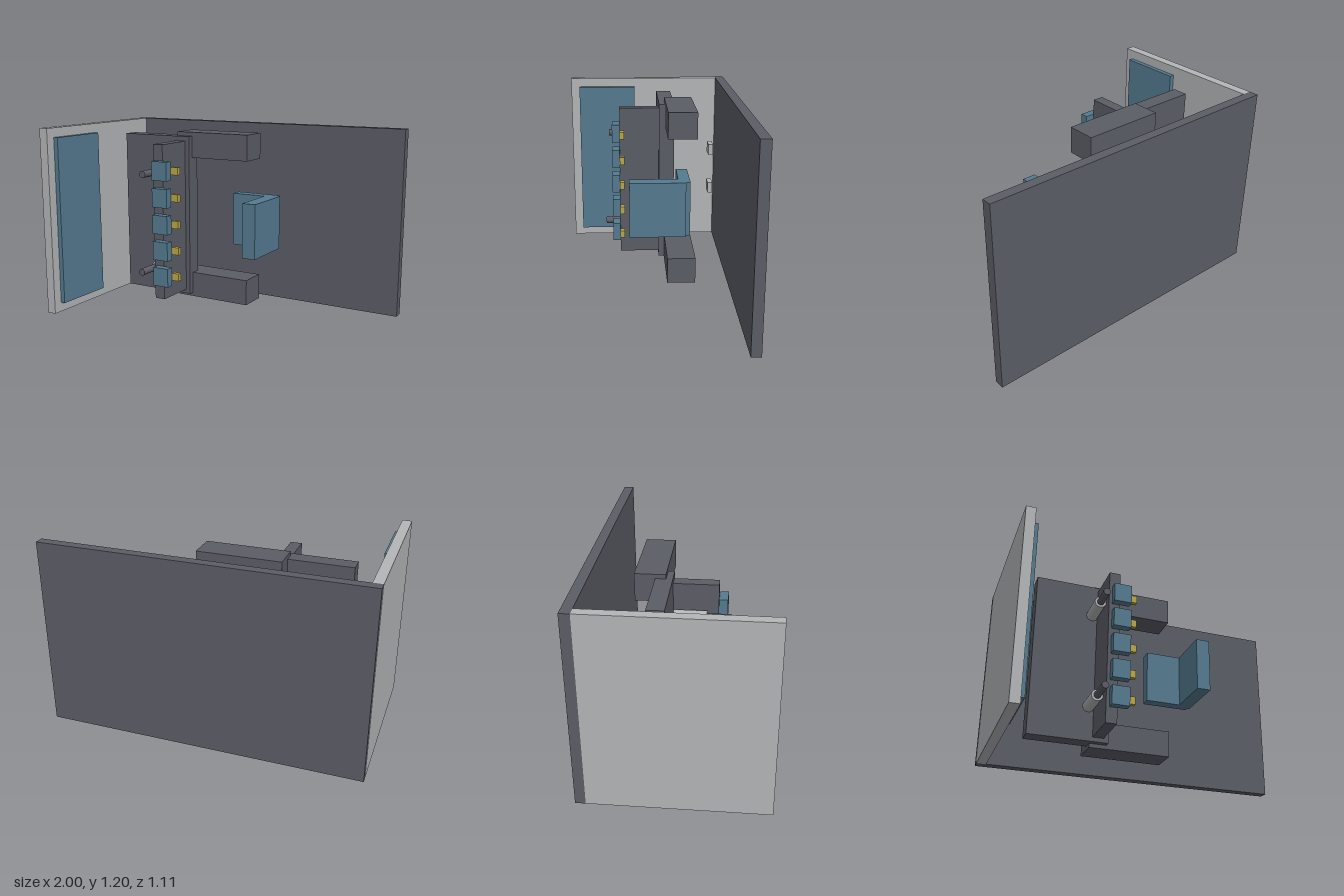
import * as THREE from 'three';

const mat = (name, color) => {
  const m = new THREE.MeshStandardMaterial({ color });
  m.name = name;
  return m;
};

export function createModel() {
  const model = new THREE.Group();
  model.name = 'wallMechanism';
  const dark = mat('darkGrey', 0x5b5d66);
  const light = mat('lightGrey', 0xb4b5b7);
  const blue = mat('steelBlue', 0x557b90);
  const yellow = mat('brassYellow', 0xb9a648);

  // Box given by its limits on each axis
  const box = (name, material, [x0, x1], [y0, y1], [z0, z1]) => {
    const mesh = new THREE.Mesh(new THREE.BoxGeometry(x1 - x0, y1 - y0, z1 - z0), material);
    mesh.position.set((x0 + x1) / 2, (y0 + y1) / 2, (z0 + z1) / 2);
    mesh.name = name;
    model.add(mesh);
  };
  // Round bar along z
  const bar = (name, material, r, x, y, z0, z1) => {
    const mesh = new THREE.Mesh(new THREE.CylinderGeometry(r, r, z1 - z0, 32), material);
    mesh.rotation.x = Math.PI / 2;
    mesh.position.set(x, y, (z0 + z1) / 2);
    mesh.name = name;
    model.add(mesh);
  };

  // Walls and inset panel
  box('backWall', dark, [-1, 1], [0, 1.2], [-0.556, -0.495]);
  box('sideWall', light, [-1, -0.94], [0, 1.2], [-0.495, 0.556]);
  box('sidePanel', blue, [-0.94, -0.91], [0.06, 1.14], [0.097, 0.496]);

  // Carrier plate with upright rib
  box('carrierPlate', dark, [-0.79, -0.29], [0.072, 1.13], [-0.156, -0.056]);
  box('rib', dark, [-0.39, -0.32], [0.1, 1.1], [-0.056, 0.204]);

  // Upper and lower support arms
  for (const y of [0.13, 1.073]) {
    box('supportArm', dark, [-0.4, 0.118], [y - 0.083, y + 0.083], [-0.274, -0.094]);
  }

  // Row of key blocks with contacts
  for (let i = 0; i < 5; i++) {
    const y = 0.26 + i * 0.17;
    box('keyBlock', blue, [-0.37, -0.26], [y - 0.06, y + 0.06], [0.204, 0.254]);
    box('contact', yellow, [-0.26, -0.21], [y - 0.024, y + 0.024], [0.174, 0.204]);
  }

  // Sleeves with sliding pins
  for (const [y, tip] of [[0.29, 0.302], [0.915, 0.277]]) {
    bar('sleeve', light, 0.036, -0.425, y, -0.05, 0.14);
    bar('pin', dark, 0.022, -0.425, y, 0, tip);
  }

  // L-shaped bracket
  box('bracketBase', blue, [-0.01, 0.288], [0.43, 0.77], [-0.22, -0.15]);
  box('bracketLeg', blue, [0.215, 0.302], [0.43, 0.77], [-0.193, 0.145]);

  // Small catches near the back wall
  for (const y of [0.463, 0.742]) {
    box('catch', light, [-0.715, -0.608], [y - 0.037, y + 0.037], [-0.453, -0.42]);
  }

  return model;
}
